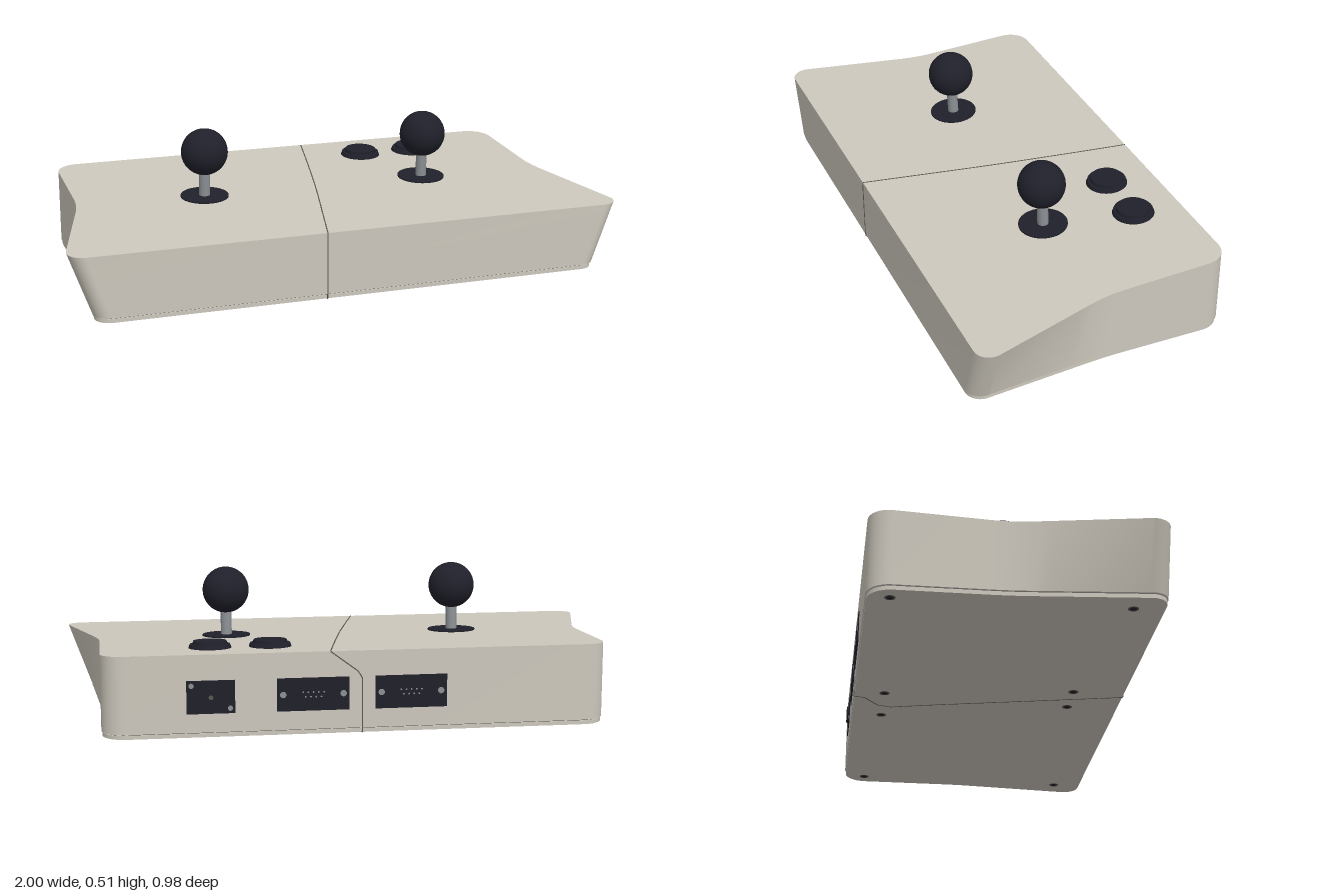
import * as THREE from 'three';
import { toCreasedNormals } from 'three/addons/utils/BufferGeometryUtils.js';

const BACK = -0.478, FRONT = 0.486, TILT = 0.0508;
const topY = (z) => 0.2625 - 0.0508 * z;

const mat = (name, color) => {
  const m = new THREE.MeshStandardMaterial({ color });
  m.name = name;
  return m;
};

// Plan outline as [x, z]; flare widens the front, inset shrinks the whole.
function outline(flare, inset = 0) {
  const half = [];
  const wide = 0.88 + flare;
  const arc = (cx, cz, r, from, to) => {
    for (let i = 0; i <= 8; i++) {
      const a = from + ((to - from) * i) / 8;
      half.push([cx + r * Math.cos(a), cz + r * Math.sin(a)]);
    }
  };
  arc(0.8, BACK + 0.08, 0.08, -Math.PI / 2, 0);
  for (const [z, f] of [[-0.08, 0], [-0.04, 0.015], [0, 0.06], [0.04, 0.13], [0.1, 0.265]])
    half.push([0.88 + flare * f, z]);
  arc(wide - 0.055, FRONT - 0.055, 0.055, -0.24, Math.PI / 2);
  const right = half.map(([x, z]) => [x - inset, z - inset * Math.sign(z) * (Math.abs(z) > 0.3 ? 1 : 0)]);
  return [...right, ...right.slice().reverse().map(([x, z]) => [-x, z])];
}

// Closed solid between two matching outlines; heights are functions of z.
function loft(low, high, yLow, yHigh) {
  const n = low.length, pos = [], idx = [];
  low.forEach(([x, z]) => pos.push(x, yLow(z), z));
  high.forEach(([x, z]) => pos.push(x, yHigh(z), z));
  for (let i = 0; i < n; i++) {
    const j = (i + 1) % n;
    idx.push(i, n + i, j, j, n + i, n + j);
  }
  for (let i = 0; i < n / 2 - 1; i++) {
    const l = n - 1 - i;
    idx.push(n + i, n + l, n + i + 1, n + l, n + l - 1, n + i + 1);
    idx.push(i, i + 1, l, l, i + 1, l - 1);
  }
  const g = new THREE.BufferGeometry();
  g.setAttribute('position', new THREE.Float32BufferAttribute(pos, 3));
  g.setIndex(idx);
  return toCreasedNormals(g, 0.6);
}

export function createModel() {
  const model = new THREE.Group();
  model.name = 'joystickController';
  const shell = mat('warm grey shell', 0xcdc8bd);
  const black = mat('blue black plastic', 0x20202b);
  const steel = mat('steel', 0x8c9094);
  const gap = mat('shadow gap', 0x5a5852);

  const add = (parent, name, geo, material, x = 0, y = 0, z = 0) => {
    const m = new THREE.Mesh(geo, material);
    m.name = name;
    m.position.set(x, y, z);
    parent.add(m);
    return m;
  };
  const group = (name, x, y, z) => {
    const g = new THREE.Group();
    g.name = name;
    g.position.set(x, y, z);
    model.add(g);
    return g;
  };
  const disc = (r, h, seg = 40, rTop = r) => new THREE.CylinderGeometry(rTop, r, h, seg);

  // Case: base plate, thin gap and flared body
  const low = outline(0.04);
  add(model, 'basePlate', loft(outline(0.038, 0.003), outline(0.038, 0.003), () => 0, () => 0.014), shell);
  add(model, 'baseGap', loft(outline(0.038, 0.006), outline(0.038, 0.006), () => 0.013, () => 0.019), gap);
  add(model, 'caseBody', loft(low, outline(0.12), () => 0.017, topY), shell);

  // Seam between the two halves, running round the whole case
  const seam = group('centreSeam', 0, 0, 0);
  const topCurve = new THREE.CatmullRomCurve3([
    [0.1, BACK], [0.075, -0.35], [0, 0.01], [-0.075, 0.33], [-0.112, FRONT],
  ].map(([x, z]) => new THREE.Vector3(x, topY(z) - 0.001, z)));
  const path = [
    ...topCurve.getPoints(14),
    new THREE.Vector3(-0.112, 0.001, FRONT - 0.001),
    new THREE.Vector3(0.04, 0.001, -0.2),
    new THREE.Vector3(0.075, 0.001, -0.34),
    new THREE.Vector3(0.06, 0.001, -0.39),
    new THREE.Vector3(-0.005, 0.001, -0.44),
    new THREE.Vector3(-0.01, 0.001, BACK + 0.001),
    new THREE.Vector3(-0.01, 0.19, BACK + 0.001),
    new THREE.Vector3(0.005, 0.215, BACK + 0.001),
    new THREE.Vector3(0.1, topY(BACK) - 0.001, BACK + 0.001),
  ];
  for (let i = 0; i < path.length - 1; i++) {
    const a = path[i], b = path[i + 1];
    const s = add(seam, 'seamLine', new THREE.BoxGeometry(0.004, 0.004, a.distanceTo(b)), gap);
    s.position.copy(a).lerp(b, 0.5);
    s.lookAt(b);
  }

  // Two ball-top sticks, square to the sloping top
  for (const side of [-1, 1]) {
    const stick = group(side > 0 ? 'leftStick' : 'rightStick', side * 0.42, topY(0.005), 0.005);
    stick.rotation.x = TILT;
    add(stick, 'dustWasher', disc(0.087, 0.006), black, 0, 0.002, 0);
    add(stick, 'shaft', disc(0.02, 0.13, 24), steel, 0, 0.06, 0);
    add(stick, 'ballTop', new THREE.SphereGeometry(0.084, 40, 28), black, 0, 0.168, 0);
  }

  // Two push buttons
  for (const x of [0.29, 0.5]) {
    const button = group('pushButton', x, topY(-0.307), -0.307);
    button.rotation.x = TILT;
    add(button, 'buttonRim', disc(0.075, 0.014, 40, 0.07), black, 0, 0.006, 0);
    add(button, 'buttonCap', disc(0.061, 0.014, 40, 0.058), black, 0, 0.017, 0);
  }

  // Rear sockets; every part is turned to face -z
  const rearDisc = (parent, name, r, depth, material, x, y, z) => {
    add(parent, name, disc(r, depth, 24), material, x, y, z).rotation.x = Math.PI / 2;
  };
  const round = group('roundSocket', 0.51, 0.14, BACK);
  add(round, 'socketPlate', new THREE.BoxGeometry(0.165, 0.115, 0.006), black);
  rearDisc(round, 'socketRing', 0.032, 0.012, black, 0, 0, -0.004);
  rearDisc(round, 'socketCentre', 0.008, 0.013, gap, 0, 0, -0.004);
  for (const s of [-1, 1]) rearDisc(round, 'plateScrew', 0.009, 0.003, steel, s * 0.066, s * 0.04, -0.003);

  const dShape = new THREE.Shape([[-0.075, 0.028], [0.075, 0.028], [0.064, -0.028], [-0.064, -0.028]]
    .map(([x, y]) => new THREE.Vector2(x, y)));
  for (const x of [0.16, -0.18]) {
    const port = group('pinSocket', x, 0.14, BACK);
    add(port, 'socketPlate', new THREE.BoxGeometry(0.25, 0.115, 0.006), black);
    add(port, 'socketShell', new THREE.ExtrudeGeometry(dShape, { depth: 0.004, bevelEnabled: false }), black, 0, 0, -0.006);
    for (const s of [-1, 1]) rearDisc(port, 'plateScrew', 0.011, 0.003, steel, s * 0.104, 0, -0.003);
    for (let i = 0; i < 9; i++) {
      const row = i < 5 ? 0 : 1;
      const px = row ? (i - 6.5) * 0.018 : (i - 2) * 0.018;
      rearDisc(port, 'pin', 0.003, 0.002, steel, px, row ? -0.008 : 0.008, -0.0065);
    }
  }

  // Screws under the base
  const screws = [[0.82, -0.4], [-0.82, -0.4], [0.83, 0.38], [-0.83, 0.38],
    [0.155, -0.37], [-0.05, -0.37], [0, 0.3], [-0.14, 0.3]];
  for (const [x, z] of screws) {
    add(model, 'baseScrewHole', disc(0.018, 0.002, 20), gap, x, 0.0005, z);
    add(model, 'baseScrew', disc(0.011, 0.002, 16), black, x, 0, z);
  }
  return model;
}
